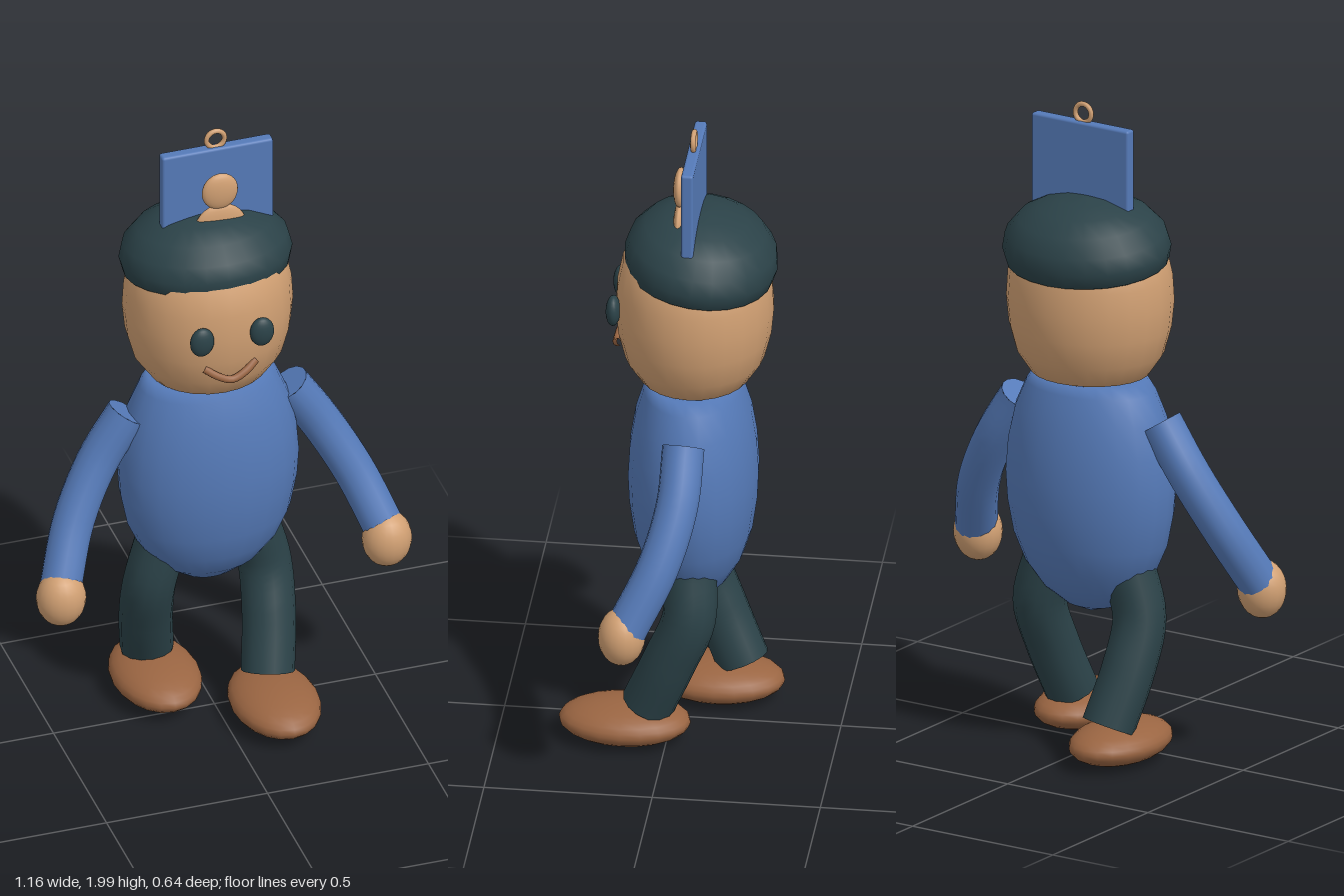
import * as THREE from 'three';
import { RoundedBoxGeometry } from 'three/addons/geometries/RoundedBoxGeometry.js';

const material = (name, color) => {
  const m = new THREE.MeshStandardMaterial({ color });
  m.name = name;
  return m;
};

export function createModel() {
  const blue = material('blue cloth', 0x557ab8);
  const skin = material('skin', 0xd1a073);
  const dark = material('dark green cloth', 0x2b4248);
  const brown = material('brown leather', 0x9a6542);
  const model = new THREE.Group();
  model.name = 'walkingFigure';

  const add = (name, geometry, mat, x = 0, y = 0, z = 0) => {
    const mesh = new THREE.Mesh(geometry, mat);
    mesh.name = name;
    mesh.position.set(x, y, z);
    model.add(mesh);
    return mesh;
  };
  const ellipsoid = (name, mat, [x, y, z], [rx, ry, rz]) =>
    add(name, new THREE.SphereGeometry(1, 20, 14).scale(rx, ry, rz), mat, x, y, z);
  const lathe = (name, mat, profile, depth, y, z) =>
    add(name, new THREE.LatheGeometry(profile.map(p => new THREE.Vector2(...p)), 24), mat, 0, y, z)
      .scale.set(1, 1, depth);

  // Curved limb with flat end caps
  const limb = (name, mat, points, radius) => {
    const curve = new THREE.CatmullRomCurve3(points.map(p => new THREE.Vector3(...p)));
    add(name, new THREE.TubeGeometry(curve, 16, radius, 14), mat);
    for (const t of [0, 1]) {
      const p = curve.getPoint(t);
      const dir = curve.getTangent(t).multiplyScalar(t ? 1 : -1);
      add(name + 'Cap', new THREE.CircleGeometry(radius, 14), mat, p.x, p.y, p.z)
        .quaternion.setFromUnitVectors(new THREE.Vector3(0, 0, 1), dir);
    }
  };

  // Torso and head
  lathe('torso', blue, [[0, 0.43], [0.08, 0.455], [0.155, 0.505], [0.212, 0.575], [0.25, 0.66], [0.27, 0.76],
    [0.276, 0.85], [0.268, 0.95], [0.245, 1.05], [0.21, 1.13], [0.185, 1.165], [0, 1.17]], 0.7, 0, -0.062);
  lathe('head', skin, [[0, 1.15], [0.11, 1.153], [0.18, 1.175], [0.225, 1.24], [0.247, 1.32], [0.255, 1.4],
    [0.25, 1.48], [0.232, 1.56], [0.18, 1.63], [0, 1.67]], 0.92, 0, -0.066);

  // Beret, tilted back
  lathe('beret', dark, [[0, 0.01], [0.235, 0], [0.25, 0.008], [0.26, 0.05], [0.248, 0.1], [0.205, 0.148],
    [0.14, 0.182], [0.07, 0.2], [0, 0.205]], 0.88, 1.515, -0.078);
  model.getObjectByName('beret').rotation.x = -0.13;

  // Mouth
  const mouth = new THREE.CatmullRomCurve3([[-0.08, 1.305, 0.145], [-0.045, 1.282, 0.16], [0, 1.265, 0.166],
    [0.045, 1.282, 0.16], [0.08, 1.305, 0.145]].map(p => new THREE.Vector3(...p)));
  add('mouth', new THREE.TubeGeometry(mouth, 16, 0.012, 8), brown);

  // Eyes, arms and hands
  for (const [side, s] of [['left', 1], ['right', -1]]) {
    ellipsoid(side + 'Eye', dark, [s * 0.093, 1.415, 0.166], [0.037, 0.048, 0.022]);
    limb(side + 'Arm', blue, [[s * 0.25, 1.055, -0.062], [s * 0.345, 0.91, -0.055],
      [s * 0.435, 0.745, -0.008], [s * 0.505, 0.57, 0.078]], 0.063);
    ellipsoid(side + 'Hand', skin, [s * 0.506, 0.548, 0.09], [0.075, 0.09, 0.07]);
  }

  // Striding legs and shoes
  for (const [side, s, ankleZ, shoeZ] of [['left', 1, 0.055, 0.125], ['right', -1, -0.19, -0.12]]) {
    limb(side + 'Leg', dark, [[s * 0.14, 0.585, -0.068], [s * 0.178, 0.44, -0.07],
      [s * 0.173, 0.29, -0.067 + (ankleZ + 0.067) * 0.45], [s * 0.148, 0.13, ankleZ]], 0.08);
    ellipsoid(side + 'Shoe', brown, [s * 0.145, 0.07, shoeZ], [0.132, 0.063, 0.196]);
  }

  // Hanging plaque with a small bust and a ring
  add('plaque', new RoundedBoxGeometry(0.345, 0.285, 0.036, 2, 0.008), blue, 0.027, 1.798, -0.066);
  ellipsoid('bustHead', skin, [0.025, 1.806, -0.025], [0.056, 0.061, 0.02]);
  ellipsoid('bustShoulders', skin, [0.025, 1.68, -0.025], [0.08, 0.08, 0.02]);
  add('hangingRing', new THREE.TorusGeometry(0.028, 0.008, 8, 24), skin, 0.025, 1.965, -0.066);

  return model;
}
